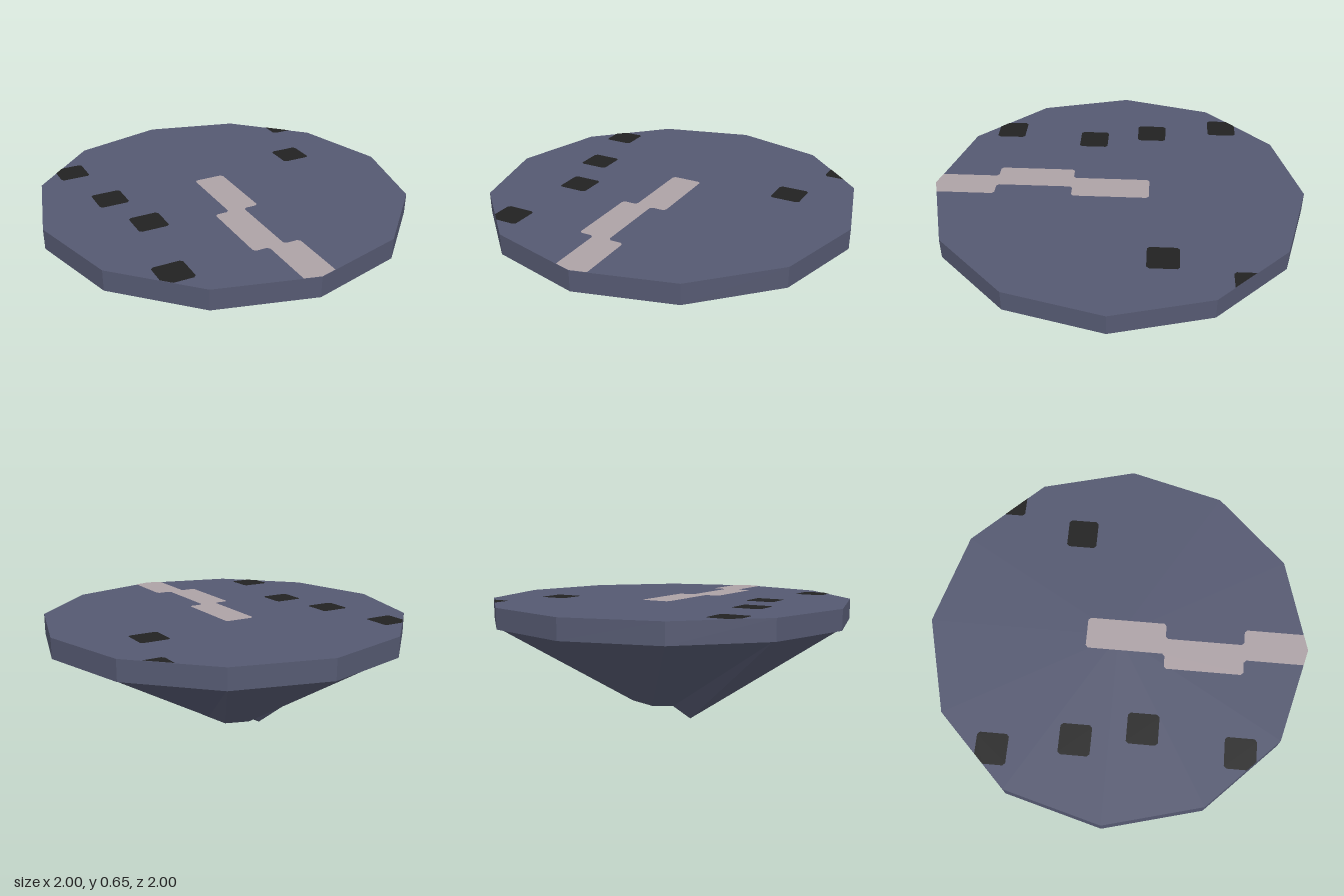
import * as THREE from 'three';

const SIDES = 12;
const TOP = 0.65, UNDER = 0.54;

const stone = new THREE.MeshStandardMaterial({ color: 0x555971, flatShading: true });
stone.name = 'slate stone';
const pathMat = new THREE.MeshStandardMaterial({ color: 0xada2a6 });
pathMat.name = 'pale path';
const tileMat = new THREE.MeshStandardMaterial({ color: 0x222222 });
tileMat.name = 'black tile';

const rim = (k, r, y) => {
  const a = (k / SIDES) * Math.PI * 2;
  return [Math.cos(a) * r, y, Math.sin(a) * r];
};

// Cut the corners of an outline slightly
function bevel(points, size = 0.013) {
  const out = [];
  points.forEach((p, i) => {
    const c = new THREE.Vector2(...p);
    for (const j of [i + points.length - 1, i + 1]) {
      const n = new THREE.Vector2(...points[j % points.length]);
      out.push(n.sub(c).normalize().multiplyScalar(size).add(c));
    }
  });
  return out;
}

// Trim an outline to the twelve-sided edge of the slab
function clipToSlab(points) {
  const limit = Math.cos(Math.PI / SIDES);
  let poly = points;
  for (let k = 0; k < SIDES; k++) {
    const a = ((k + 0.5) / SIDES) * Math.PI * 2;
    const normal = new THREE.Vector2(Math.cos(a), Math.sin(a));
    const next = [];
    poly.forEach((p, i) => {
      const q = poly[(i + 1) % poly.length];
      const dp = p.dot(normal) - limit, dq = q.dot(normal) - limit;
      if (dp <= 0) next.push(p);
      if (dp * dq < 0) next.push(p.clone().lerp(q, dp / (dp - dq)));
    });
    poly = next;
  }
  return poly;
}

// Flat inlay on the top surface, given as [x, z] corners
function inlay(name, corners, material) {
  const outline = clipToSlab(bevel(corners)).map((p) => new THREE.Vector2(p.x, -p.y));
  const geo = new THREE.ShapeGeometry(new THREE.Shape(outline));
  geo.rotateX(-Math.PI / 2);
  const mesh = new THREE.Mesh(geo, material);
  mesh.position.y = TOP + 0.002;
  mesh.name = name;
  return mesh;
}

// Rough tapering underside, closed by a small uneven cap
function rockGeometry() {
  const bottom = [
    [0.13, 0.09, 0], [0.14, 0.065, 0.08], [0.07, 0.05, 0.16], [0, 0.07, 0.16],
    [-0.08, 0.09, 0.13], [-0.18, 0.05, 0.1], [-0.17, 0.04, 0], [-0.18, 0, -0.09],
    [-0.1, 0.07, -0.14], [-0.02, 0.08, -0.23], [0.12, 0.09, -0.21], [0.15, 0.09, -0.08],
  ];
  const centre = [0, 0.08, 0];
  const pos = [];
  for (let k = 0; k < SIDES; k++) {
    const n = (k + 1) % SIDES;
    const a = rim(k, 0.98, UNDER), b = rim(n, 0.98, UNDER);
    const c = bottom[k], d = bottom[n];
    pos.push(...a, ...b, ...d, ...a, ...d, ...c, ...centre, ...c, ...d);
  }
  const geo = new THREE.BufferGeometry();
  geo.setAttribute('position', new THREE.Float32BufferAttribute(pos, 3));
  geo.computeVertexNormals();
  return geo;
}

export function createModel() {
  const model = new THREE.Group();
  model.name = 'floatingIsland';

  // Twelve-sided slab
  const slab = new THREE.Mesh(new THREE.CylinderGeometry(1, 1, TOP - UNDER, SIDES), stone);
  slab.position.y = (TOP + UNDER) / 2;
  slab.name = 'slab';
  model.add(slab);

  const rock = new THREE.Mesh(rockGeometry(), stone);
  rock.name = 'rockUnderside';
  model.add(rock);

  // Stepped path running to the front edge
  model.add(inlay('path', [
    [-0.085, -0.168], [0.085, -0.168], [0.085, 0.25], [0, 0.25], [0, 0.665], [0.085, 0.665],
    [0.085, 1.1], [-0.085, 1.1], [-0.085, 0.665], [-0.167, 0.665], [-0.167, 0.25], [-0.085, 0.25],
  ], pathMat));

  // Scattered square tiles
  const h = 0.081;
  const tiles = [[-0.667, -0.585], [-0.585, -0.17], [-0.5, 0.167], [-0.585, 0.665], [0.582, -0.25], [0.75, -0.667]];
  for (const [x, z] of tiles) {
    model.add(inlay('tile', [[x - h, z - h], [x + h, z - h], [x + h, z + h], [x - h, z + h]], tileMat));
  }
  return model;
}
